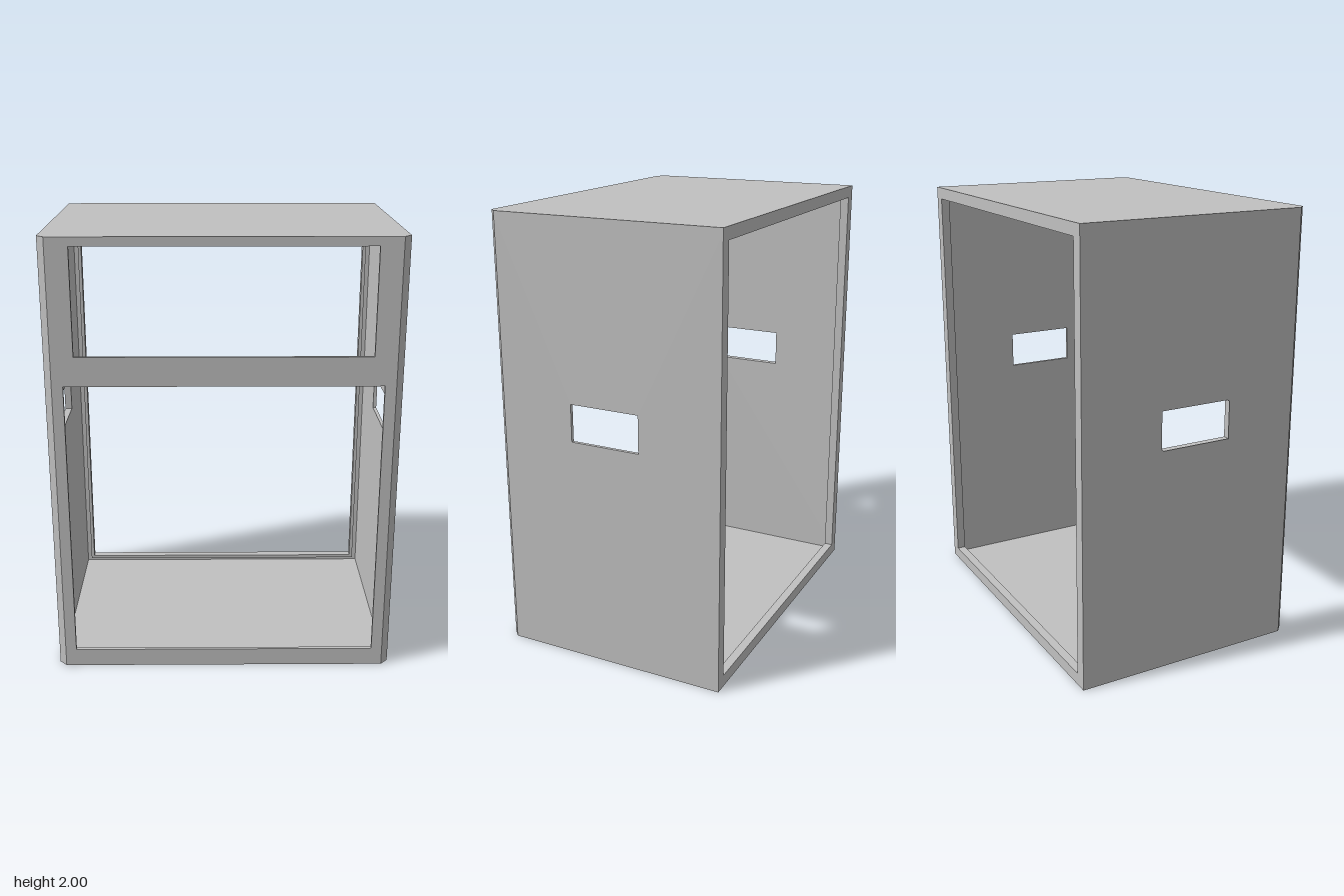
import * as THREE from 'three';

const X0 = -0.762, X1 = 0.778, CX = (X0 + X1) / 2; // outer sides
const Z = 0.54, H = 2, T = 0.016;                   // half depth, height, sheet thickness
const C = 0.033, K = T * 0.414;                     // corner bevel and its inner offset

const rect = (Type, a, b, c, d) => {
  const p = new Type();
  p.moveTo(a, b); p.lineTo(c, b); p.lineTo(c, d); p.lineTo(a, d); p.closePath();
  return p;
};
const poly = (pts) => new THREE.Shape(pts.map(([x, y]) => new THREE.Vector2(x, y)));
const extrude = (shape, depth) => new THREE.ExtrudeGeometry(shape, { depth, bevelEnabled: false });
// Plan outline (x, z) raised along y
const raise = (pts, y, h) =>
  extrude(poly(pts.map(([x, z]) => [x, -z])), h).rotateX(-Math.PI / 2).translate(0, y, 0);

export function createModel() {
  const group = new THREE.Group();
  const grey = new THREE.MeshStandardMaterial({ color: 0xc0c0c0 });
  const add = (name, geometry) => {
    const m = new THREE.Mesh(geometry, grey);
    m.name = name;
    group.add(m);
    return m;
  };

  // Top and bottom sheets with bevelled front corners
  const plan = [[X0, -Z], [X1, -Z], [X1, Z - C], [X1 - C, Z], [X0 + C, Z], [X0, Z - C]];
  add('bottomSheet', raise(plan, 0, T));
  add('topSheet', raise(plan, H - T, T));

  // Side sheets with a slot, and bevelled front corner strips
  for (const s of [1, -1]) {
    const side = s > 0 ? 'left' : 'right';
    const x = s > 0 ? X1 : X0;
    const wall = rect(THREE.Shape, -Z, T, Z - C, H - T);
    wall.holes.push(rect(THREE.Path, -0.163, 1.035, 0.163, 1.205));
    add(side + 'Side', extrude(wall, T).rotateY(-Math.PI / 2)
      .translate(s > 0 ? x : x + T, 0, 0));
    add(side + 'CornerStrip', raise([
      [x, Z - C], [x - s * C, Z], [x - s * (C + K), Z - T], [x - s * T, Z - C - K],
    ], T, H - 2 * T));
  }

  // Front panel with upper and lower openings
  const front = rect(THREE.Shape, X0 + C, T, X1 - C, H - T);
  front.holes.push(rect(THREE.Path, CX - 0.688, 0.083, CX + 0.688, 1.363));
  front.holes.push(rect(THREE.Path, CX - 0.638, 1.492, CX + 0.638, 1.96));
  add('frontPanel', extrude(front, T).translate(0, 0, Z - T));

  // Rear flange around the open back, folded inwards
  const F = 0.054;
  const ring = (outer, inner) => {
    const r = rect(THREE.Shape, X0 + outer, outer, X1 - outer, H - outer);
    r.holes.push(rect(THREE.Path, X0 + inner, inner, X1 - inner, H - inner));
    return r;
  };
  add('rearFlange', extrude(ring(T, F), T).translate(0, 0, -Z));
  add('rearFlangeReturn', extrude(ring(F - T, F), 0.04 - T).translate(0, 0, -Z + T));

  // Inward-facing sleeve outside the right slot, open at both ends
  const sleeve = new THREE.BoxGeometry(T, 0.17, 0.326);
  sleeve.setIndex(Array.from(sleeve.index.array).slice(12).reverse());
  sleeve.computeVertexNormals();
  add('rightSlotSleeve', sleeve).position.set(X0 - T / 2, 1.12, 0);

  return group;
}
